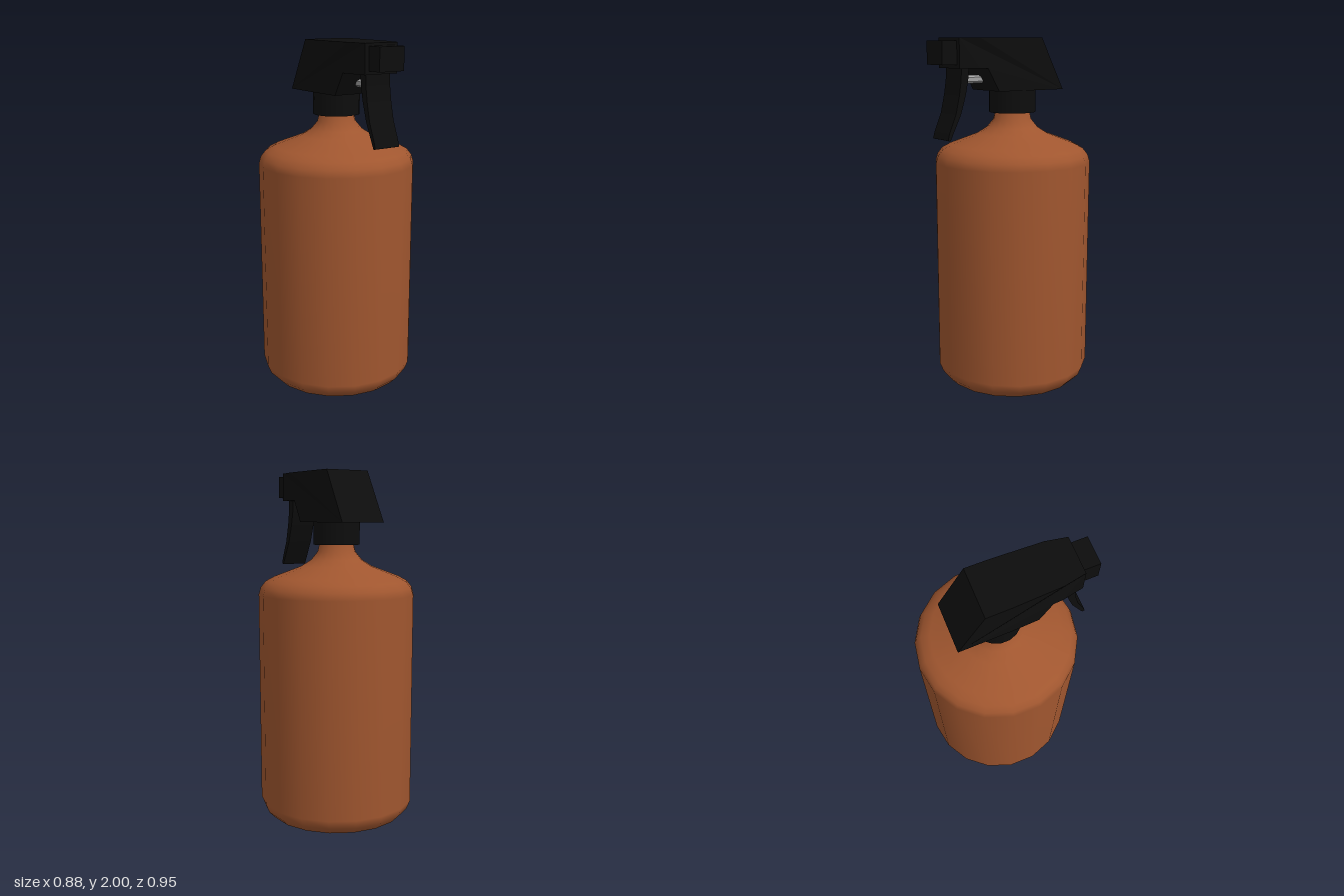
import * as THREE from 'three';

const AXIS_Z = -0.03; // bottle axis sits slightly behind the centre

function createMaterials() {
  const make = (name, color) => {
    const m = new THREE.MeshStandardMaterial({ color });
    m.name = name;
    return m;
  };
  return {
    amber: make('amberBottle', 0xa0562f),
    black: make('blackPlastic', 0x0d0d0d),
    grey: make('greyRod', 0xa0a0a0),
  };
}

// Extrude a side profile given as [z, y] pairs, centred across x
function sideExtrude(profile, width) {
  const shape = new THREE.Shape(profile.map(([z, y]) => new THREE.Vector2(z, y)));
  const geo = new THREE.ExtrudeGeometry(shape, { depth: width, bevelEnabled: false });
  geo.translate(0, 0, -width / 2);
  geo.rotateY(-Math.PI / 2);
  return geo;
}

export function createModel() {
  const group = new THREE.Group();
  group.name = 'sprayBottle';
  const mat = createMaterials();
  const add = (name, geo, material, x = 0, y = 0, z = 0) => {
    const mesh = new THREE.Mesh(geo, material);
    mesh.name = name;
    mesh.position.set(x, y, z);
    group.add(mesh);
    return mesh;
  };

  // Bottle body with rounded base, sloping shoulder and short neck
  const profile = [
    [0, 0], [0.34, 0.002], [0.385, 0.02], [0.425, 0.06], [0.445, 0.11],
    [0.445, 1.31], [0.433, 1.35], [0.405, 1.385], [0.355, 1.412],
    [0.2, 1.47], [0.145, 1.505], [0.108, 1.55], [0.094, 1.61],
  ].map(([r, y]) => new THREE.Vector2(r, y));
  add('bottle', new THREE.LatheGeometry(profile, 18), mat.amber, 0, 0, AXIS_Z);

  // Screw collar
  add('collar', new THREE.CylinderGeometry(0.132, 0.132, 0.14, 18), mat.black, 0, 1.66, AXIS_Z);

  // Spray head, narrowing towards the front
  const head = sideExtrude([
    [-0.285, 1.715], [0, 1.715], [0.15, 1.715], [0.22, 1.84], [0.27, 1.84], [0.385, 1.84],
    [0.385, 2], [0.27, 2], [0, 2], [-0.135, 2],
  ], 2);
  const widthAt = (z) => {
    const stops = [[-0.285, 0.139], [0, 0.136], [0.27, 0.125], [0.385, 0.103]];
    for (let i = 1; i < stops.length; i++) {
      const [z0, w0] = stops[i - 1], [z1, w1] = stops[i];
      if (z <= z1) return THREE.MathUtils.mapLinear(z, z0, z1, w0, w1);
    }
    return 0.103;
  };
  const pos = head.attributes.position;
  for (let i = 0; i < pos.count; i++) pos.setX(i, pos.getX(i) * widthAt(pos.getZ(i)));
  head.computeVertexNormals();
  add('sprayHead', head, mat.black);

  // Nozzle block
  add('nozzle', new THREE.BoxGeometry(0.156, 0.126, 0.1), mat.black, 0, 1.922, 0.425);

  // Curved trigger, tapering to the tip
  add('trigger', sideExtrude([
    [0.31, 1.85], [0.316, 1.78], [0.332, 1.7], [0.363, 1.6], [0.412, 1.5], [0.432, 1.46],
    [0.447, 1.464], [0.437, 1.5], [0.395, 1.6], [0.372, 1.7], [0.36, 1.78], [0.358, 1.85],
  ], 0.156), mat.black);

  // Pump rod between trigger and head
  const rod = new THREE.CylinderGeometry(0.022, 0.022, 0.22, 6).toNonIndexed();
  rod.rotateX(Math.PI / 2);
  rod.computeVertexNormals();
  add('pumpRod', rod, mat.grey, 0, 1.779, 0.22);

  return group;
}
